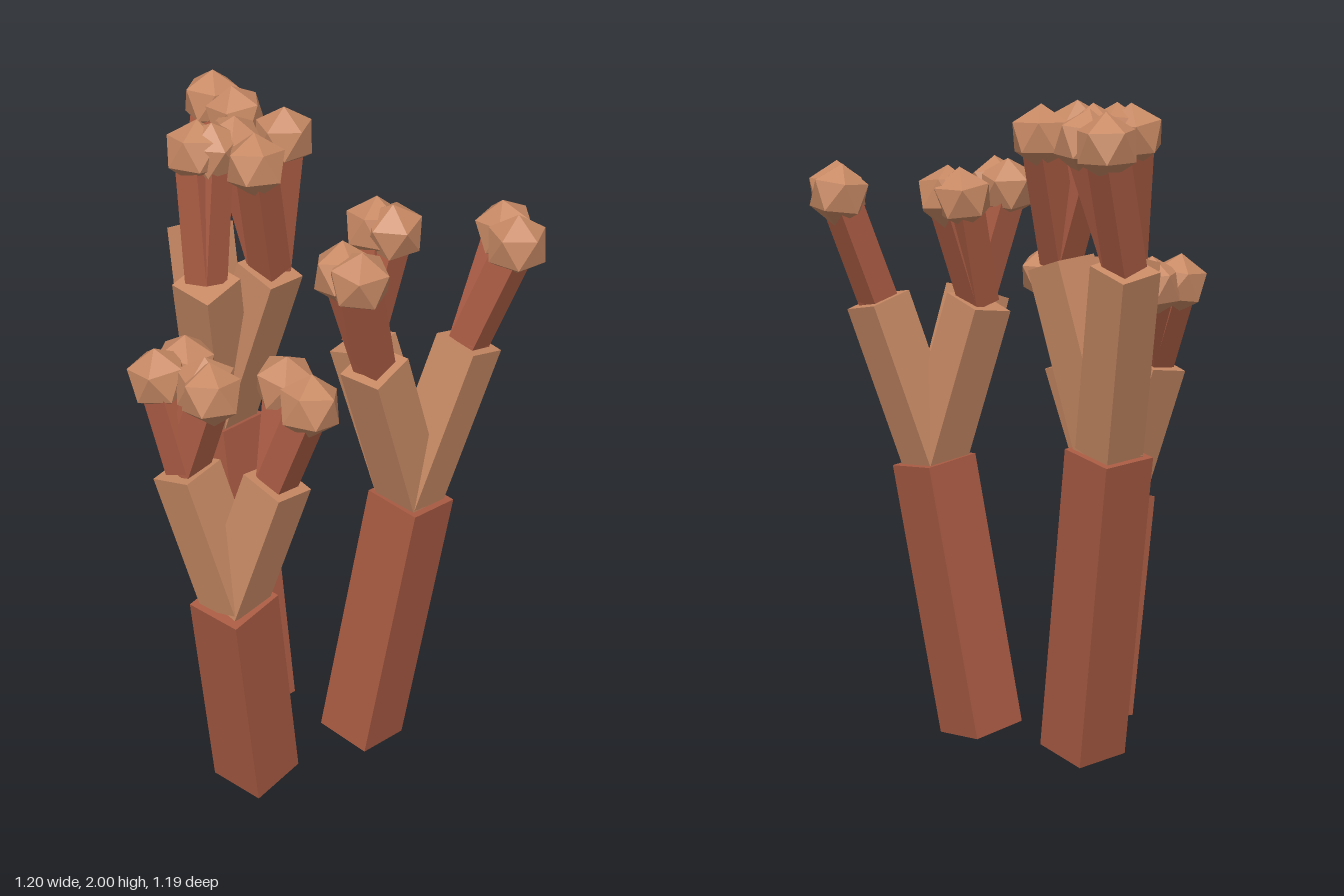
import * as THREE from 'three';

const brown = new THREE.MeshStandardMaterial({ color: 0xa95b43, flatShading: true });
const tan = new THREE.MeshStandardMaterial({ color: 0xc78964, flatShading: true });
const UP = new THREE.Vector3(0, 1, 0);

// Four-sided bar running between two points
function bar(name, from, to, radius, material) {
  const a = new THREE.Vector3(...from);
  const dir = new THREE.Vector3(...to).sub(a);
  const mesh = new THREE.Mesh(new THREE.CylinderGeometry(radius, radius, dir.length(), 4), material);
  mesh.position.copy(a).addScaledVector(dir, 0.5);
  mesh.quaternion.setFromUnitVectors(UP, dir.normalize());
  mesh.name = name;
  return mesh;
}

// Faceted bud with one corner pointing up
const budGeometry = new THREE.IcosahedronGeometry(0.095, 0).rotateZ(Math.atan(2 / (1 + Math.sqrt(5))));
function bud(at, turn) {
  const mesh = new THREE.Mesh(budGeometry, tan);
  mesh.position.set(...at);
  mesh.rotation.set(0.12 * Math.sin(turn * 3), turn, 0.12 * Math.cos(turn * 5));
  mesh.name = 'bud';
  return mesh;
}

// Each stalk: base, top, bud height, and branches with their end and the [x, z] of their buds
const stalks = [
  {
    name: 'rightStalk', base: [0.08, 0.022, 0.13], top: [0.225, 0.88, 0.13], budY: 1.705,
    branches: [
      { end: [0.39, 1.38, 0.1], buds: [[0.495, 0.03], [0.515, 0.13]] },
      { end: [0.1, 1.39, 0.25], buds: [[0.01, 0.28], [0.05, 0.33]] },
      { end: [0.08, 1.38, 0.08], buds: [[0.12, -0.01], [0.17, 0.02]] },
    ],
  },
  {
    name: 'backStalk', base: [-0.25, 0.022, -0.06], top: [-0.33, 0.98, -0.205], budY: 1.905,
    branches: [
      { end: [-0.38, 1.55, -0.39], buds: [[-0.33, -0.51], [-0.265, -0.385]] },
      { end: [-0.18, 1.53, -0.11], buds: [[-0.13, -0.22], [-0.22, -0.02], [-0.28, -0.175]] },
      { end: [-0.37, 1.53, -0.04], buds: [[-0.39, -0.13], [-0.34, -0.135]] },
    ],
  },
  {
    name: 'frontStalk', base: [-0.26, 0.022, 0.32], top: [-0.32, 0.72, 0.42], budY: 1.41,
    branches: [
      { end: [-0.445, 1.15, 0.385], buds: [[-0.44, 0.24], [-0.515, 0.31], [-0.385, 0.37], [-0.37, 0.42]] },
      { end: [-0.19, 1.14, 0.455], buds: [[-0.16, 0.37], [-0.1, 0.505]] },
    ],
  },
];

export function createModel() {
  const model = new THREE.Group();
  model.name = 'branchingCoral';
  let turn = 0;
  for (const { name, base, top, budY, branches } of stalks) {
    const stalk = new THREE.Group();
    stalk.name = name;
    stalk.add(bar('trunk', base, top, 0.13, brown));
    for (const { end, buds } of branches) {
      stalk.add(bar('branch', top, end, 0.1, tan));
      for (const [x, z] of buds) {
        const tip = [x, budY, z];
        stalk.add(bar('twig', end, tip, 0.062, brown), bud(tip, turn));
        turn += 0.9;
      }
    }
    model.add(stalk);
  }
  return model;
}
